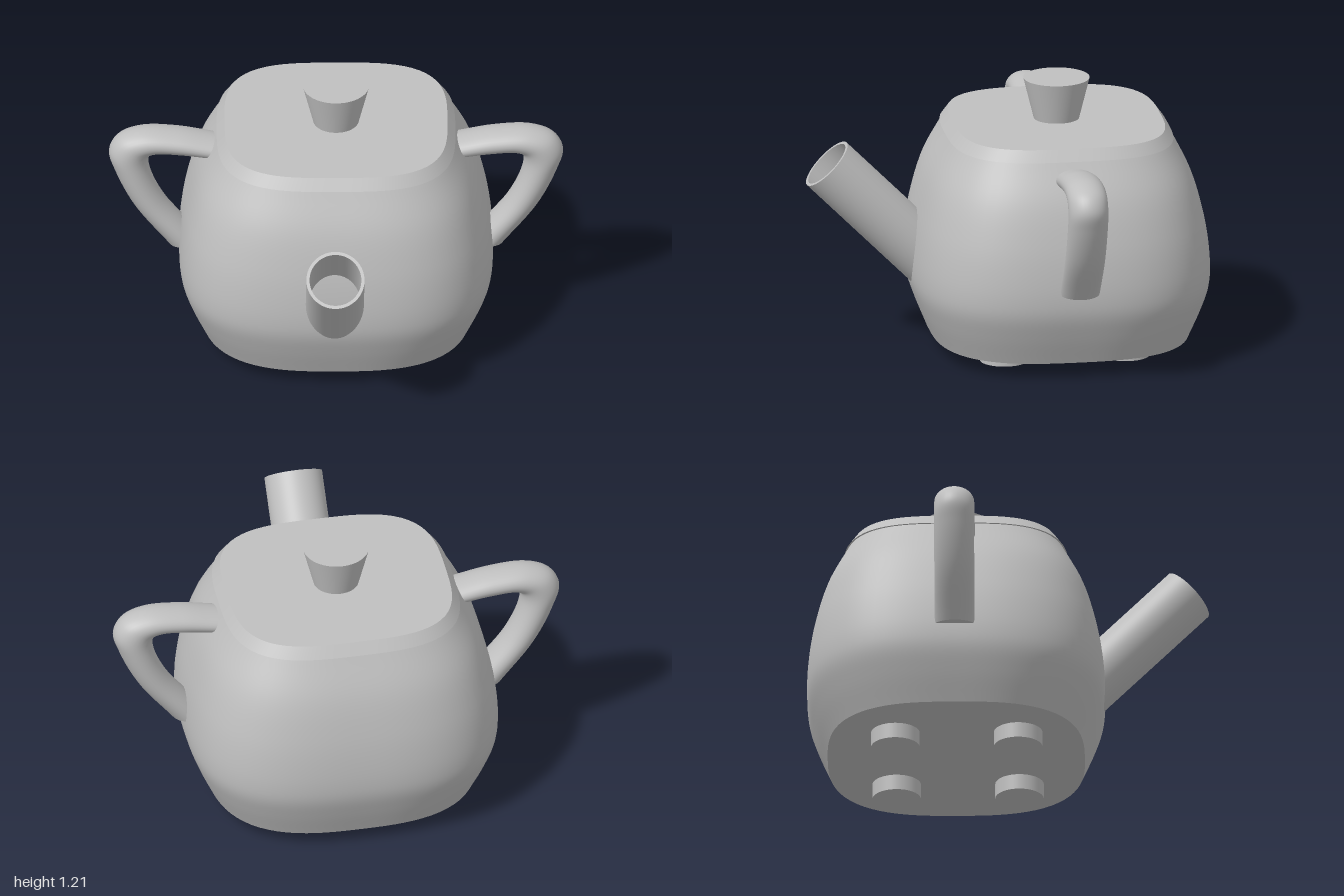
import * as THREE from 'three';
import { toCreasedNormals } from 'three/addons/utils/BufferGeometryUtils.js';

const CENTRE_Z = -0.23;

// Skin a list of rings (equal point counts) and close both ends with flat caps.
function loft(rings) {
  const n = rings[0].length, pos = [], index = [];
  const add = (p) => pos.push(p.x, p.y, p.z) / 3 - 1;
  rings.forEach((ring) => ring.forEach(add));
  for (let i = 0; i < rings.length - 1; i++) {
    for (let j = 0; j < n; j++) {
      const k = (j + 1) % n, a = i * n, b = a + n;
      index.push(a + j, b + j, a + k, a + k, b + j, b + k);
    }
  }
  [rings[0], rings[rings.length - 1]].forEach((ring, end) => {
    const mid = ring.reduce((s, p) => s.add(p), new THREE.Vector3()).divideScalar(n);
    const c = add(mid);
    ring.forEach(add);
    for (let j = 0; j < n; j++) {
      const p = c + 1 + j, q = c + 1 + ((j + 1) % n);
      index.push(c, end ? q : p, end ? p : q);
    }
  });
  const geo = new THREE.BufferGeometry();
  geo.setAttribute('position', new THREE.Float32BufferAttribute(pos, 3));
  geo.setIndex(index);
  geo.computeVertexNormals();
  return geo;
}

// Horizontal rounded-square ring; a larger power gives squarer corners.
function squircle(halfX, halfZ, y, power, count = 96) {
  return Array.from({ length: count }, (_, j) => {
    const t = (j / count) * Math.PI * 2, c = Math.cos(t), s = Math.sin(t);
    const r = (Math.abs(c) ** power + Math.abs(s) ** power) ** (-1 / power);
    return new THREE.Vector3(halfX * r * c, y, halfZ * r * s);
  });
}

const spline = (pts) =>
  new THREE.CatmullRomCurve3(pts.map(([x, y]) => new THREE.Vector3(x, y, 0)));

function bodyGeometry() {
  const profile = spline([
    [0.595, 0.07], [0.65, 0.2], [0.683, 0.3], [0.69, 0.38],
    [0.681, 0.5], [0.657, 0.63], [0.605, 0.8], [0.513, 0.975],
  ]);
  return loft(profile.getPoints(40).map((p) =>
    squircle(p.x, p.x * 0.95, p.y, 2.8 + 0.4 * p.y)));
}

// The handle's section is set by its outer and inner edge lines.
function handleGeometry() {
  const outer = spline([
    [0.45, 0.92], [0.56, 0.945], [0.7, 0.973], [0.86, 0.978], [0.96, 0.94],
    [0.998, 0.87], [0.975, 0.78], [0.89, 0.6], [0.74, 0.4],
  ]);
  const inner = spline([
    [0.45, 0.83], [0.56, 0.848], [0.68, 0.863], [0.78, 0.868], [0.815, 0.855],
    [0.824, 0.82], [0.808, 0.74], [0.745, 0.61], [0.59, 0.42],
  ]);
  const rings = [];
  for (let i = 0; i <= 64; i++) {
    const o = outer.getPoint(i / 64), q = inner.getPoint(i / 64);
    const mid = o.clone().add(q).multiplyScalar(0.5), half = o.clone().sub(mid);
    rings.push(Array.from({ length: 32 }, (_, j) => {
      const t = (j / 32) * Math.PI * 2;
      const p = mid.clone().addScaledVector(half, Math.cos(t));
      p.z = -0.088 * Math.sin(t);
      return p;
    }));
  }
  return loft(rings);
}

export function createModel() {
  const model = new THREE.Group();
  model.name = 'teapot';
  const grey = new THREE.MeshStandardMaterial({ color: 0xbfbfbf });
  grey.name = 'plain grey';

  const part = (name, geo, x = 0, y = 0, z = CENTRE_Z) => {
    const mesh = new THREE.Mesh(geo, grey);
    mesh.name = name;
    mesh.position.set(x, y, z);
    model.add(mesh);
    return mesh;
  };

  part('body', bodyGeometry());

  // Lid with a bevelled edge, slightly overhanging the body
  part('lid', toCreasedNormals(loft([
    squircle(0.525, 0.496, 0.97, 3.2),
    squircle(0.49, 0.46, 1.02, 3.3),
  ]), 0.6));
  part('knob', new THREE.CylinderGeometry(0.146, 0.1, 0.185, 64), 0, 1.1125);

  // Handles on both sides
  const handle = handleGeometry();
  part('leftHandle', handle);
  part('rightHandle', handle).rotation.y = Math.PI;

  // Hollow spout, tilted forward, its lower end buried in the body
  const length = 0.72;
  const tube = [[0.128, -length], [0.128, 0], [0.114, 0], [0.114, -length]];
  const spout = new THREE.LatheGeometry(tube.map(([r, y]) => new THREE.Vector2(r, y)), 64);
  part('spout', toCreasedNormals(spout, 0.6), -0.01, 0.851, 0.79).rotation.x = Math.PI / 4;

  // Four short round feet
  const foot = new THREE.CylinderGeometry(0.107, 0.107, 0.08, 48);
  for (const x of [-0.27, 0.27]) {
    for (const z of [0.045, -0.495]) part('foot', foot, x, 0.04, z);
  }
  return model;
}
